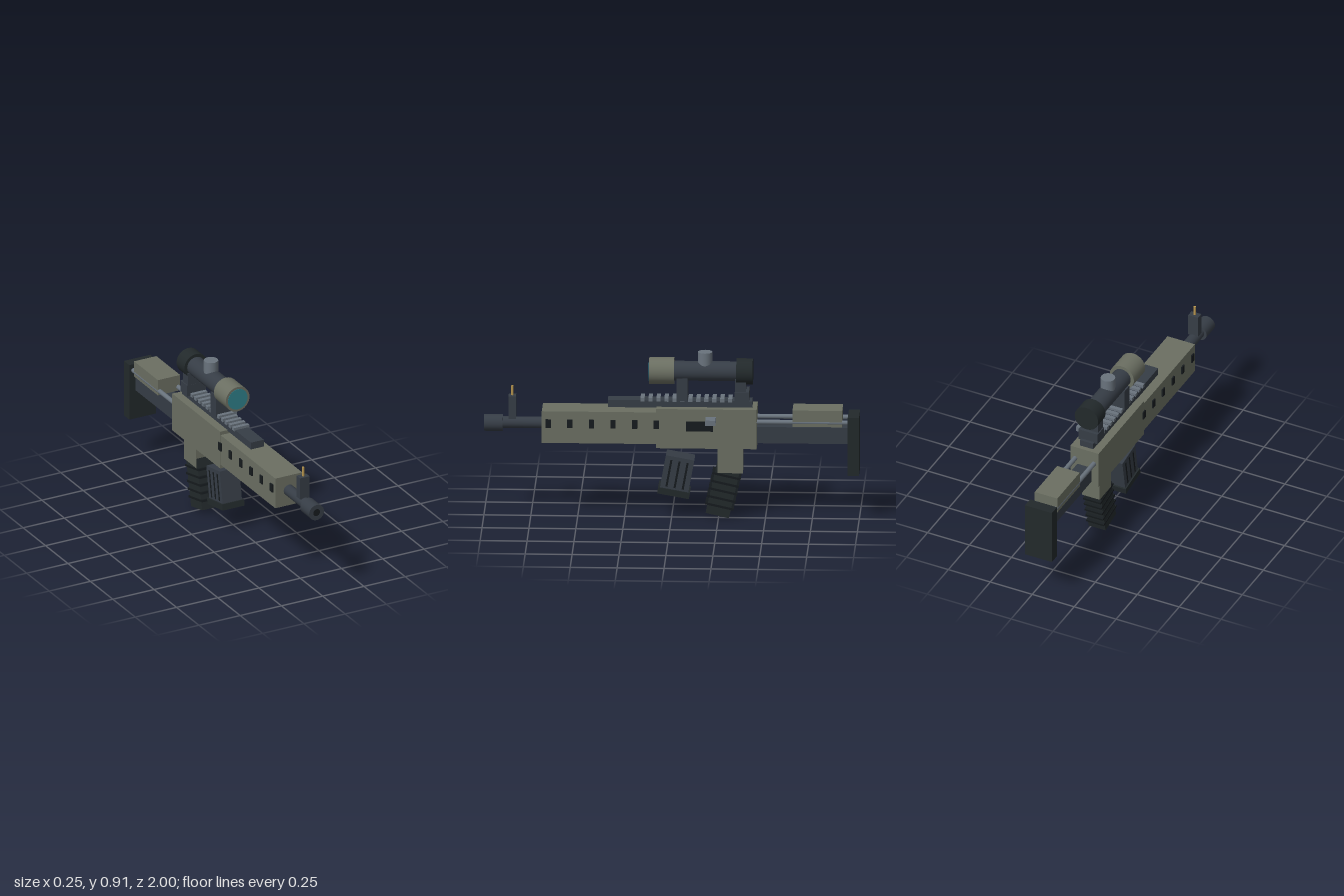
import * as THREE from 'three';

const COLORS = {
  olive: 0x6b6f62, steel: 0x363d46, black: 0x22292b, light: 0x69737d,
  teal: 0x2f7f8a, brass: 0xb8964f, slot: 0x161b1e,
};
const mats = {};
for (const key in COLORS) mats[key] = new THREE.MeshStandardMaterial({ color: COLORS[key] });

export function createModel() {
  const model = new THREE.Group();
  const body = new THREE.Group();
  body.name = 'body';
  body.position.x = -0.037; // the side handle sticks out to +x
  model.add(body);

  function add(name, geo, mat, x, y, z, parent = body) {
    const mesh = new THREE.Mesh(geo, mats[mat]);
    mesh.name = name;
    mesh.position.set(x, y, z);
    parent.add(mesh);
    return mesh;
  }
  // Box given by width and its y and z ranges
  const box = (name, mat, w, y0, y1, z0, z1, x = 0) =>
    add(name, new THREE.BoxGeometry(w, y1 - y0, z1 - z0), mat, x, (y0 + y1) / 2, (z0 + z1) / 2);
  // Cylinder lying along z
  const rod = (name, mat, r, y, z0, z1, x = 0, sides = 24) =>
    add(name, new THREE.CylinderGeometry(r, r, z1 - z0, sides).rotateX(Math.PI / 2), mat, x, y, (z0 + z1) / 2);
  // Group leaning with its lower end forward
  function leaning(name, y, z, angle) {
    const g = new THREE.Group();
    g.name = name;
    g.position.set(0, y, z);
    g.rotation.x = -angle;
    body.add(g);
    return g;
  }

  // Barrel, muzzle and front sight
  rod('barrel', 'steel', 0.031, 0.505, 0.66, 0.92);
  rod('muzzle', 'steel', 0.045, 0.502, 0.9, 1);
  rod('bore', 'slot', 0.02, 0.502, 0.95, 1.001);
  box('frontSightPost', 'steel', 0.058, 0.53, 0.655, 0.83, 0.87);
  add('frontSightPin', new THREE.CylinderGeometry(0.006, 0.006, 0.06, 12), 'brass', 0, 0.678, 0.85);

  // Handguard with side slots
  box('handguard', 'olive', 0.163, 0.415, 0.59, 0.07, 0.69);
  for (const side of [-1, 1]) {
    for (let i = 0; i < 6; i++) {
      const z = 0.655 - i * 0.115;
      box('handguardSlot', 'slot', 0.012, 0.5, 0.546, z - 0.014, z + 0.014, side * 0.083);
    }
  }

  // Receiver with port and side handle
  box('receiver', 'olive', 0.168, 0.393, 0.61, -0.455, 0.08);
  box('ejectionPort', 'slot', 0.02, 0.49, 0.543, -0.222, -0.08, 0.083);
  box('sideHandle', 'light', 0.1, 0.541, 0.57, -0.238, -0.184, 0.11);

  // Top rail with teeth
  box('topRail', 'steel', 0.078, 0.605, 0.645, -0.43, 0.34);
  for (let i = 0; i < 12; i++) {
    const z = 0.155 - i * 0.0425;
    box('railTooth', 'light', 0.092, 0.64, 0.659, z - 0.011, z + 0.011);
  }

  // Scope with mounts, lens and turret
  for (const z of [-0.057, -0.367]) box('scopeMount', 'steel', 0.104, 0.645, 0.77, z - 0.029, z + 0.029);
  box('rearClamp', 'steel', 0.115, 0.637, 0.7, -0.413, -0.337);
  rod('scopeTube', 'steel', 0.053, 0.8, -0.4, 0.05, 0, 32);
  rod('scopeObjective', 'olive', 0.072, 0.8, -0.013, 0.12, 0, 32);
  rod('scopeLens', 'teal', 0.059, 0.8, 0.09, 0.122, 0, 32);
  rod('scopeEyepiece', 'black', 0.07, 0.8, -0.432, -0.345, 0, 32);
  add('scopeTurret', new THREE.CylinderGeometry(0.039, 0.039, 0.1, 24), 'light', 0, 0.856, -0.177);

  // Stock: lower beam, twin rods, cheek rest and butt plate
  box('stockBeam', 'steel', 0.084, 0.415, 0.505, -0.95, -0.44);
  for (const side of [-1, 1]) rod('stockRod', 'light', 0.013, 0.537, -0.95, -0.44, side * 0.056, 12);
  box('cheekRest', 'olive', 0.135, 0.515, 0.605, -0.91, -0.645);
  box('buttPlate', 'black', 0.16, 0.25, 0.572, -1, -0.94);

  // Rear magazine with well and cross ribs
  box('magazineWell', 'olive', 0.105, 0.25, 0.4, -0.38, -0.245);
  const rear = leaning('rearMagazine', 0.153, -0.275, 0.22);
  add('rearMagazineBody', new THREE.BoxGeometry(0.101, 0.285, 0.127), 'black', 0, 0, 0, rear);
  for (let i = 0; i < 5; i++) {
    add('magazineRib', new THREE.BoxGeometry(0.105, 0.012, 0.155), 'slot', 0, 0.082 - i * 0.043, 0, rear);
  }

  // Front grip block with grooves and base plate
  const front = leaning('frontGrip', 0.235, -0.029, 0.18);
  add('frontGripBody', new THREE.BoxGeometry(0.117, 0.2, 0.153), 'steel', 0, 0, 0, front);
  add('frontGripBase', new THREE.BoxGeometry(0.133, 0.034, 0.172), 'black', 0, -0.097, 0, front);
  for (const z of [-0.044, 0, 0.044]) {
    add('gripGroove', new THREE.BoxGeometry(0.121, 0.15, 0.011), 'slot', 0, 0.005, z, front);
  }

  return model;
}
